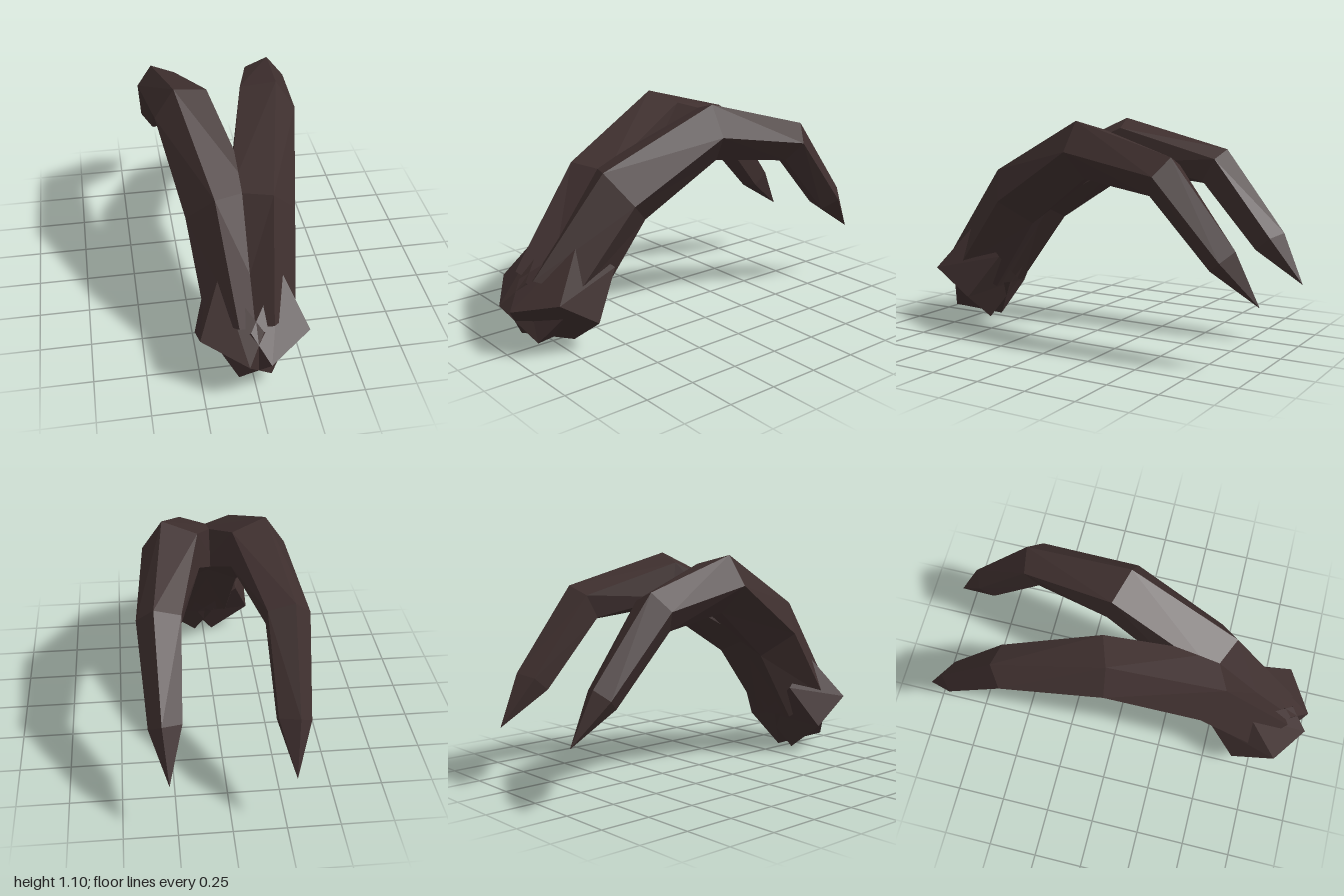
import * as THREE from 'three';

const hornMaterial = new THREE.MeshStandardMaterial({ color: 0x3e2f2e, flatShading: true, side: THREE.DoubleSide });
hornMaterial.name = 'dark brown horn';

// Five-sided section from its top, outer and bottom corners; the two inner corners complete the pentagon
function section(top, outer, bottom) {
  const [t, o, b] = [top, outer, bottom].map((p) => new THREE.Vector3(...p));
  const mid = t.clone().add(b).multiplyScalar(0.5);
  const inner = mid.clone().addScaledVector(mid.clone().sub(o), 1.618);
  const half = t.clone().sub(mid).multiplyScalar(0.618);
  return [o, t, inner.clone().add(half), inner.clone().sub(half), b];
}

// Skin a list of rings; side = -1 mirrors the result
function loft(rings, side, capStart) {
  const out = [];
  const tri = (a, b, c) => {
    for (const p of side > 0 ? [a, b, c] : [a, c, b]) out.push(p.x * side, p.y, p.z);
  };
  for (let i = 0; i < rings.length - 1; i++) {
    const r = rings[i], q = rings[i + 1], n = r.length;
    for (let j = 0; j < n; j++) {
      const k = (j + 1) % n;
      tri(r[j], q[j], r[k]);
      if (q[j] !== q[k]) tri(r[k], q[j], q[k]);
    }
  }
  if (capStart) {
    const r = rings[0];
    for (let j = 1; j < r.length - 1; j++) tri(r[0], r[j], r[j + 1]);
  }
  const geometry = new THREE.BufferGeometry();
  geometry.setAttribute('position', new THREE.Float32BufferAttribute(out, 3));
  geometry.computeVertexNormals();
  return geometry;
}

const vectors = (list) => list.map((p) => new THREE.Vector3(...p));

export function createModel() {
  const model = new THREE.Group();
  model.name = 'hornPair';

  // Curved horn: sections from the base to the pointed tip
  const tip = new THREE.Vector3(0.283, 0.305, -1);
  const hornRings = [
    section([0.08, 0.37, 0.89], [0.213, 0.31, 0.735], [0.12, 0.2, 0.56]),
    section([0.135, 0.83, 0.53], [0.26, 0.68, 0.44], [0.15, 0.565, 0.3]),
    section([0.25, 1.1, -0.03], [0.347, 0.955, -0.02], [0.24, 0.82, -0.07]),
    section([0.315, 0.95, -0.575], [0.394, 0.865, -0.52], [0.32, 0.77, -0.47]),
    section([0.305, 0.55, -0.89], [0.365, 0.5, -0.84], [0.31, 0.45, -0.77]),
    Array(5).fill(tip),
  ];

  // Flared collar: its rim, then the corners that sink into the horn as spikes
  const collarRings = [
    vectors([[0.255, 0.295, 0.86], [0.05, 0.235, 1], [-0.077, 0.055, 0.876], [0.05, 0.005, 0.66], [0.255, 0.155, 0.65]]),
    vectors([[0.14, 0.53, 0.685], [-0.03, 0.35, 0.9], [-0.18, 0.2, 0.785], [-0.04, 0.21, 0.53], [0.175, 0.375, 0.5]]),
  ];

  for (const [name, side] of [['left', 1], ['right', -1]]) {
    const horn = new THREE.Mesh(loft(hornRings, side, false), hornMaterial);
    horn.name = name + 'Horn';
    const collar = new THREE.Mesh(loft(collarRings, side, true), hornMaterial);
    collar.name = name + 'HornCollar';
    model.add(horn, collar);
  }
  return model;
}
